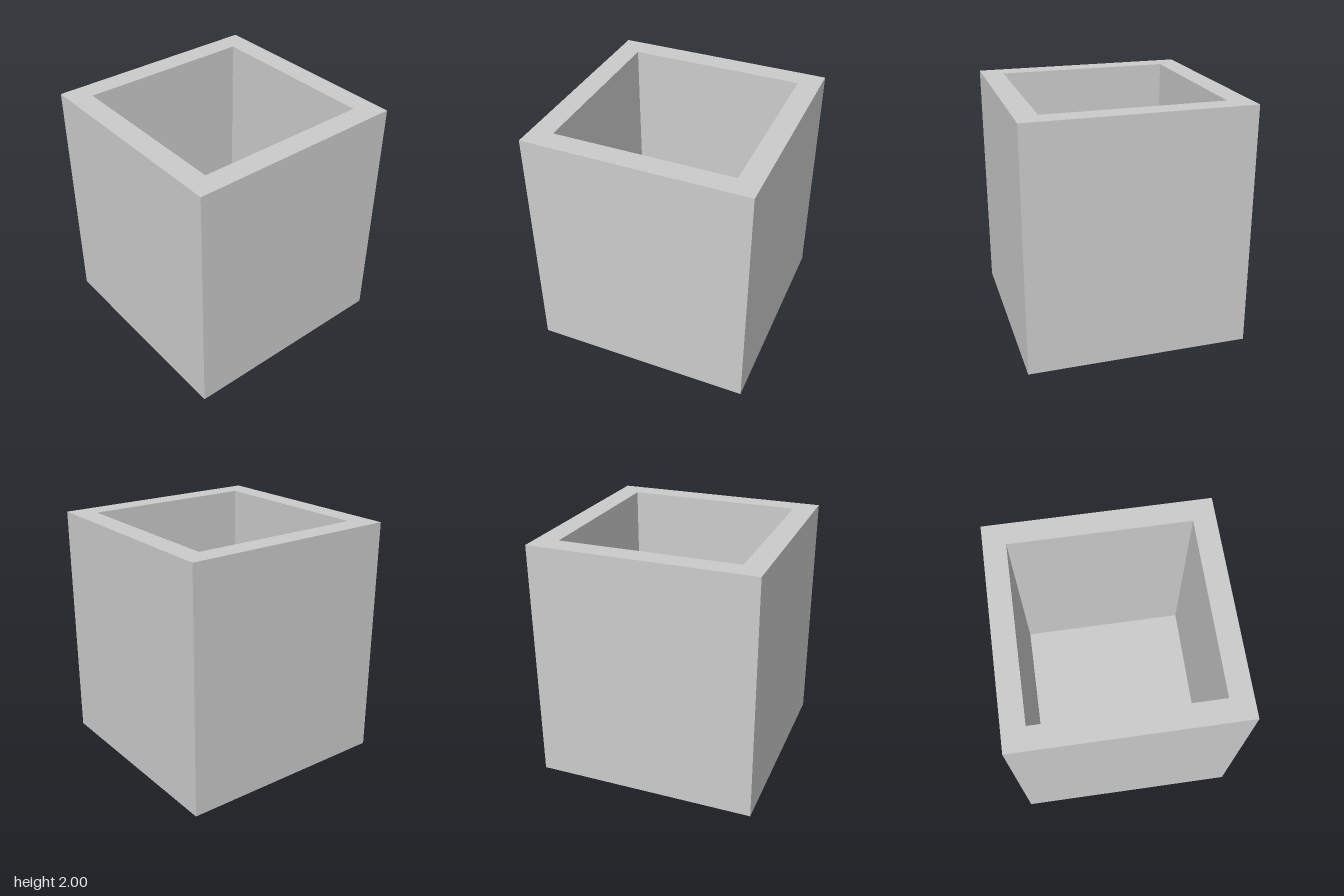
import * as THREE from 'three';

const HEIGHT = 2;
const OUTER = 10 / 11; // half width of the outside
const WALL = 2 / 11;   // wall and floor thickness

export function createModel() {
  const group = new THREE.Group();
  group.name = 'planterBox';

  // Half section of the box, from the underside centre round to the floor centre;
  // four lathe segments turn it into a square, so radii run to the corners
  const outer = OUTER * Math.SQRT2;
  const inner = (OUTER - WALL) * Math.SQRT2;
  const section = [
    [0, 0], [outer, 0], [outer, HEIGHT],
    [inner, HEIGHT], [inner, WALL], [0, WALL],
  ].map(([x, y]) => new THREE.Vector2(x, y));

  const geometry = new THREE.LatheGeometry(section, 4, Math.PI / 4).toNonIndexed();
  geometry.computeVertexNormals(); // flat faces with sharp edges

  const box = new THREE.Mesh(
    geometry,
    new THREE.MeshStandardMaterial({ color: 0xcccccc, flatShading: true }),
  );
  box.name = 'openBox';
  group.add(box);
  return group;
}
